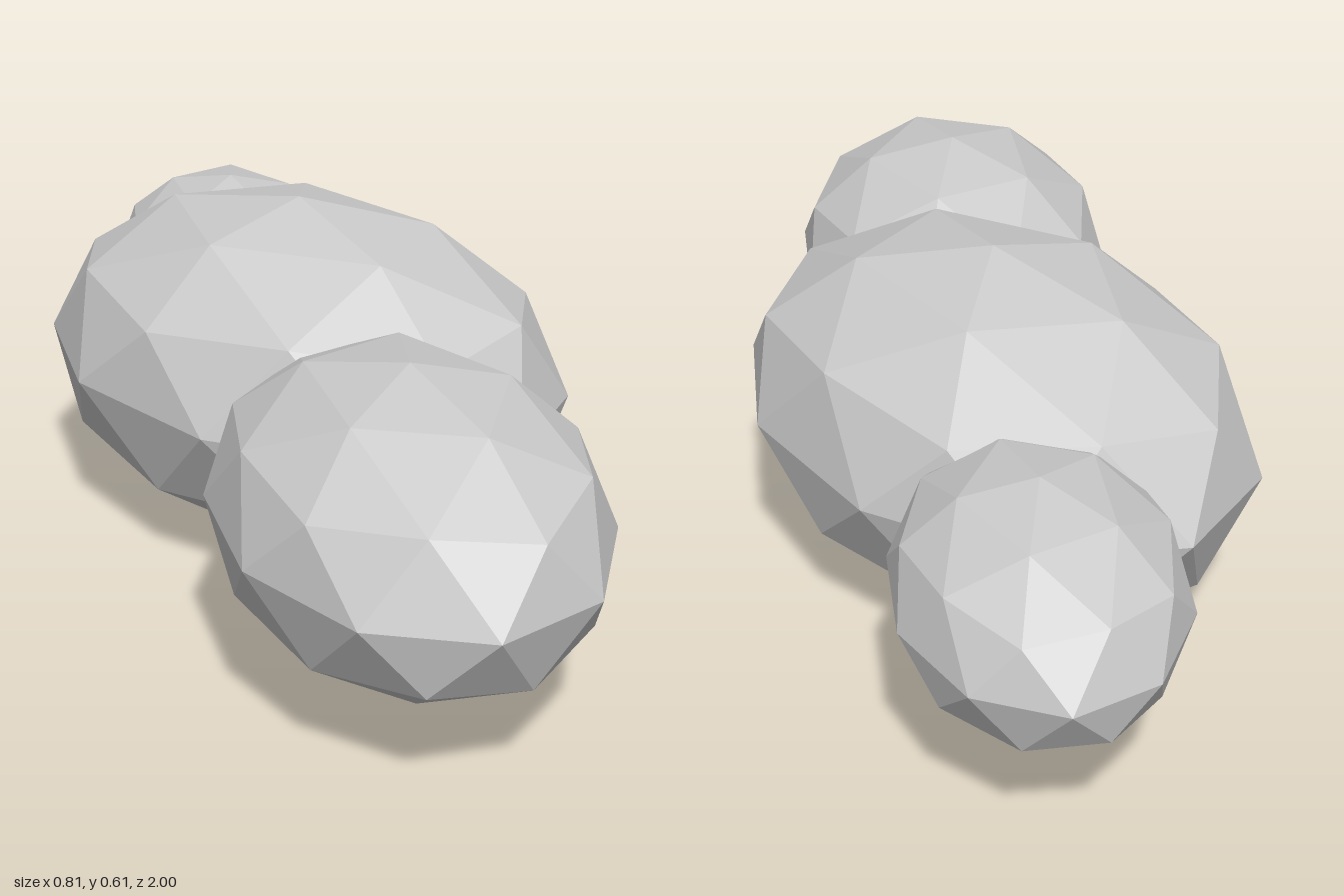
import * as THREE from 'three';

// Faceted ball, turned so one vertex points up and an upper ring vertex points to +x,
// then stretched, slanted in plan (z grows with x) and moved into place.
function lobe(name, [rx, ry, rz], [x, y, z], slant = 0) {
  const geometry = new THREE.IcosahedronGeometry(1, 1);
  geometry.rotateX(-Math.atan((1 + Math.sqrt(5)) / 2));
  geometry.rotateY(Math.PI / 2);
  geometry.applyMatrix4(new THREE.Matrix4().set(
    rx, 0, 0, x,
    0, ry, 0, y,
    slant, 0, rz, z,
    0, 0, 0, 1
  ));
  geometry.computeVertexNormals();
  const material = new THREE.MeshStandardMaterial({ color: 0xcccccc, flatShading: true });
  const mesh = new THREE.Mesh(geometry, material);
  mesh.name = name;
  return mesh;
}

export function createModel() {
  const model = new THREE.Group();
  model.name = 'lobedBody';
  model.add(
    lobe('frontLobe', [0.305, 0.243, 0.437], [0, 0.308, 0.563]),
    // The middle lobe is slanted towards the front left
    lobe('middleLobe', [0.426, 0.305, 0.499], [0, 0.308, -0.102], 0.145),
    lobe('rearLobe', [0.231, 0.185, 0.336], [0, 0.308, -0.664])
  );
  return model;
}
